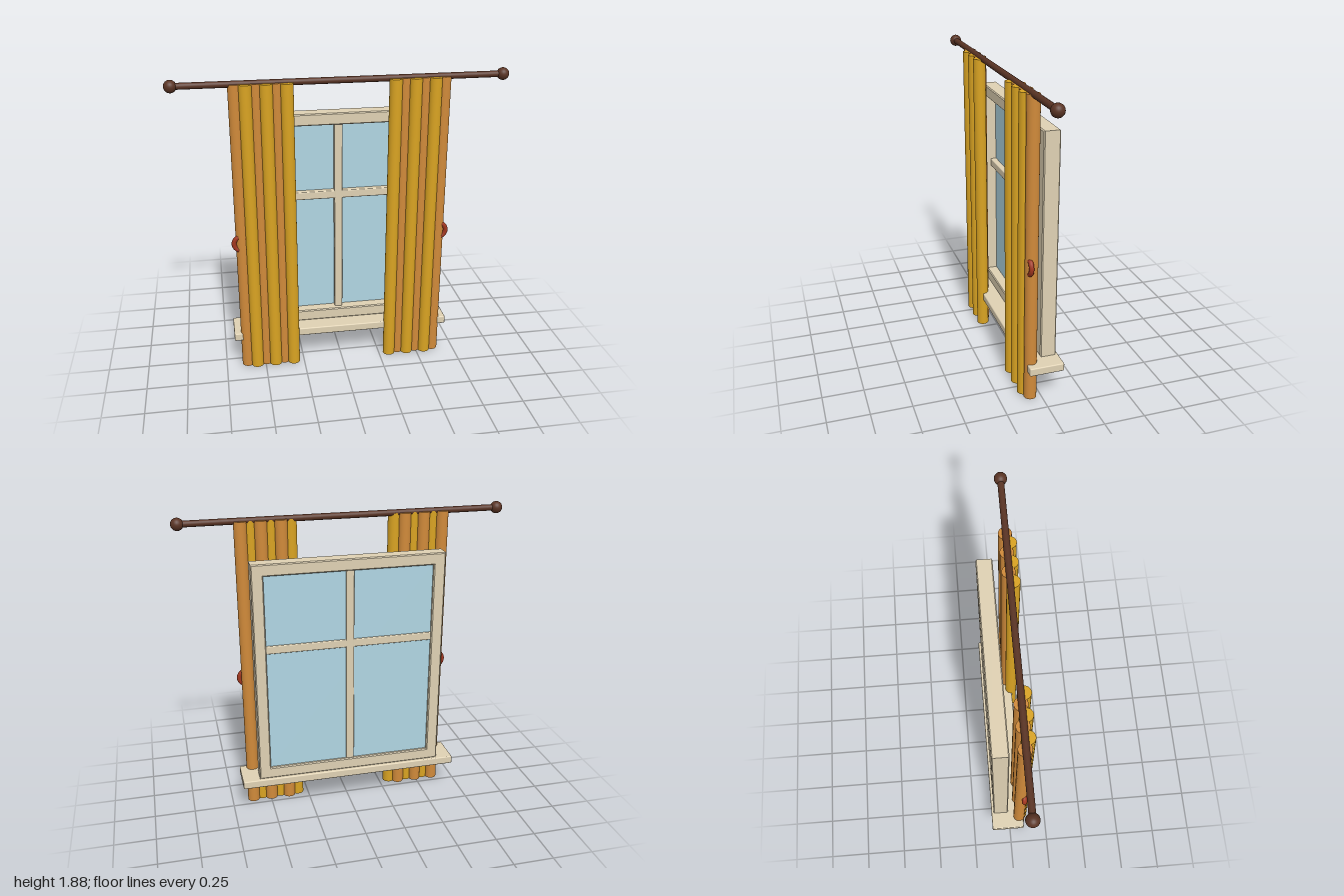
import * as THREE from 'three';
import { RoundedBoxGeometry } from 'three/addons/geometries/RoundedBoxGeometry.js';

const paint = (name, color) => {
  const m = new THREE.MeshStandardMaterial({ color });
  m.name = name;
  return m;
};

export function createModel() {
  const cream = paint('cream wood', 0xdfd1b3);
  const glassBlue = paint('pale blue glass', 0xb0d6e3);
  const gold = paint('gold cloth', 0xd9a322);
  const orange = paint('orange cloth', 0xd08a3a);
  const brown = paint('dark brown rod', 0x5a3424);
  const red = paint('red tieback', 0xa0361f);

  const model = new THREE.Group();
  model.name = 'curtainedWindow';

  const add = (name, geometry, material, x, y, z, parent = model) => {
    const mesh = new THREE.Mesh(geometry, material);
    mesh.name = name;
    mesh.position.set(x, y, z);
    parent.add(mesh);
    return mesh;
  };

  // Window frame: bevelled rectangle with one opening
  const b = 0.006;
  const rect = (target, x, y0, y1) => {
    target.moveTo(-x, y0);
    target.lineTo(x, y0);
    target.lineTo(x, y1);
    target.lineTo(-x, y1);
    target.closePath();
    return target;
  };
  const outline = rect(new THREE.Shape(), 0.585 - b, 0.238 + b, 1.628 - b);
  outline.holes.push(rect(new THREE.Path(), 0.513 + b, 0.31 - b, 1.556 + b));
  const frame = new THREE.ExtrudeGeometry(outline, {
    depth: 0.097 - 2 * b, bevelEnabled: true, bevelThickness: b, bevelSize: b, bevelSegments: 1,
  });
  add('windowFrame', frame, cream, 0, 0, -0.107 + b);

  // Glass and glazing bars
  add('glassPane', new THREE.BoxGeometry(1.03, 1.25, 0.01), glassBlue, 0, 0.933, -0.083);
  add('verticalBar', new RoundedBoxGeometry(0.05, 1.25, 0.06, 2, 0.006), cream, 0, 0.933, -0.07);
  add('horizontalBar', new RoundedBoxGeometry(1.03, 0.05, 0.058, 2, 0.006), cream, 0, 1.1, -0.07);

  // Sill
  add('sill', new RoundedBoxGeometry(1.384, 0.051, 0.212, 2, 0.007), cream, 0, 0.2125, -0.016);

  // Curtain rod with ball ends
  const rodY = 1.844, rodZ = 0.067;
  const rod = add('curtainRod', new THREE.CylinderGeometry(0.019, 0.019, 1.93, 20), brown, 0, rodY, rodZ);
  rod.rotation.z = Math.PI / 2;

  // Mirrored curtains: six round folds alternating back and front
  const foldShape = new THREE.CylinderGeometry(0.038, 0.038, rodY, 24);
  const ball = new THREE.SphereGeometry(0.037, 24, 16);
  const tie = new THREE.TorusGeometry(0.045, 0.015, 12, 32);
  for (const [side, s] of [['left', 1], ['right', -1]]) {
    const curtain = new THREE.Group();
    curtain.name = side + 'Curtain';
    model.add(curtain);
    for (let i = 0; i < 6; i++) {
      const front = i % 2 === 1;
      add('fold', foldShape, front ? gold : orange,
        s * (0.612 - i * 0.0592), rodY / 2, front ? 0.085 : 0.063, curtain);
    }
    add(side + 'Tieback', tie, red, s * 0.617, 0.866, 0.08);
    add(side + 'RodBall', ball, brown, s * 0.963, rodY, rodZ);
  }
  return model;
}
